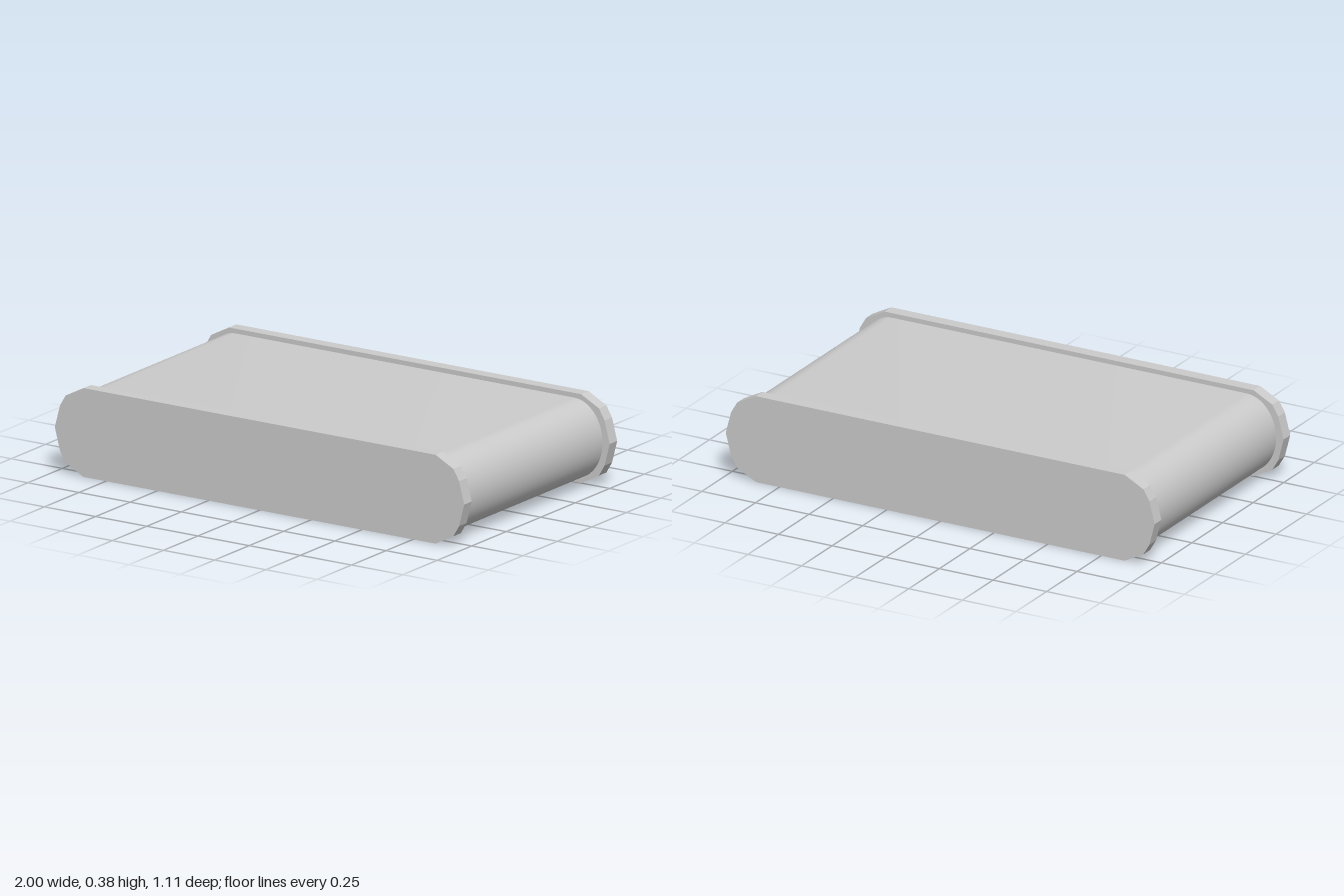
import * as THREE from 'three';
import { toCreasedNormals } from 'three/addons/utils/BufferGeometryUtils.js';

const MID = 0.1875; // height of the centre line
const material = new THREE.MeshStandardMaterial({ color: 0xcccccc });

// Extrude a front outline, centred on the given z
function slab(name, shape, depth, z, crease) {
  const raw = new THREE.ExtrudeGeometry(shape, { depth, bevelEnabled: false, curveSegments: 16 });
  raw.translate(0, MID, z - depth / 2);
  const mesh = new THREE.Mesh(toCreasedNormals(raw, crease), material);
  mesh.name = name;
  return mesh;
}

// Faceted side plate outline: one corner quarter mirrored to all four
function plateShape() {
  const quarter = [[1, 0], [0.975, 0.095], [0.947, 0.142], [0.86, 0.1875]];
  const right = [...quarter.slice(1).reverse().map(([x, y]) => [x, -y]), ...quarter];
  const left = right.map(([x, y]) => [-x, -y]);
  return new THREE.Shape([...right, ...left].map(([x, y]) => new THREE.Vector2(x, y)));
}

// Belt outline: flat runs joined by rounded ends
function beltShape() {
  const straight = 0.827, rx = 0.138, ry = 0.1675;
  const s = new THREE.Shape();
  s.moveTo(-straight, -ry);
  s.lineTo(straight, -ry);
  s.absellipse(straight, 0, rx, ry, -Math.PI / 2, Math.PI / 2, false);
  s.lineTo(-straight, ry);
  s.absellipse(-straight, 0, rx, ry, Math.PI / 2, Math.PI * 1.5, false);
  return s;
}

export function createModel() {
  const group = new THREE.Group();
  group.name = 'conveyor';
  group.add(slab('belt', beltShape(), 1.0, 0, 0.6));
  for (const [name, side] of [['frontSidePlate', 1], ['backSidePlate', -1]]) {
    group.add(slab(name, plateShape(), 0.054, side * 0.527, 0.05));
  }
  return group;
}
